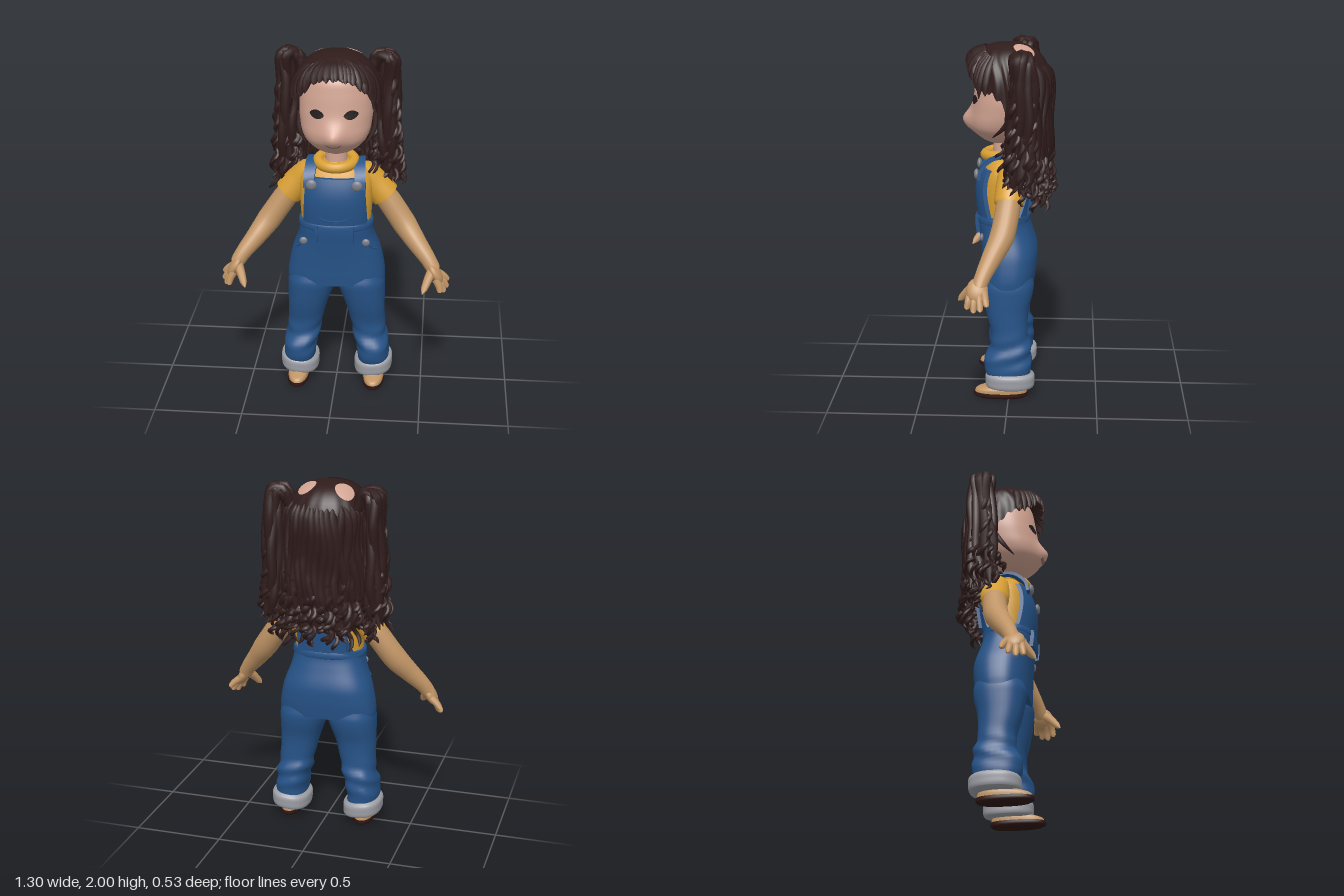
import * as THREE from 'three';

const mat = (name, color, side = THREE.FrontSide) => {
  const m = new THREE.MeshStandardMaterial({ color, side });
  m.name = name;
  return m;
};
const M = {
  face: mat('face skin', 0xd2a492), skin: mat('limb skin', 0xc09465), hair: mat('dark hair', 0x2f1c1b, THREE.DoubleSide),
  denim: mat('denim', 0x265388), shirt: mat('yellow shirt', 0xd89f34), cuff: mat('grey cuff', 0x9d9fa5),
  sole: mat('dark sole', 0x2f1714), button: mat('button', 0x7b7f88), eye: mat('eye', 0x241c1c), mouth: mat('mouth', 0x8f706a),
};

let seed = 7;
const rnd = (a = 0, b = 1) => {
  seed = (seed * 16807) % 2147483647;
  return a + (b - a) * seed / 2147483647;
};
const V = (x, y, z) => new THREE.Vector3(x, y, z);
const lerp = THREE.MathUtils.lerp;

// Smooth interpolation of a table of rows by its first column
function rowAt(rows, y) {
  let i = 0;
  while (i < rows.length - 2 && y > rows[i + 1][0]) i++;
  const h = rows[i + 1][0] - rows[i][0], f = THREE.MathUtils.clamp((y - rows[i][0]) / h, 0, 1);
  const slope = (k, c) => {
    const a = rows[Math.max(k - 1, 0)], b = rows[Math.min(k + 1, rows.length - 1)];
    return (b[c] - a[c]) / (b[0] - a[0]);
  };
  const f2 = f * f, f3 = f2 * f;
  return rows[i].map((v, c) => c === 0 ? y : v * (2 * f3 - 3 * f2 + 1) + rows[i + 1][c] * (3 * f2 - 2 * f3)
    + h * (slope(i, c) * (f3 - 2 * f2 + f) + slope(i + 1, c) * (f3 - f2)));
}

// Closed body from rows of [y, centre x, half width, front z, back z]
function loft(rows, n = 2.3, rule = null, seg = 40) {
  const pos = [], idx = [], ys = [];
  rows.forEach((r, i) => {
    if (i < rows.length - 1) for (let k = 0; k < 5; k++) ys.push(lerp(r[0], rows[i + 1][0], k / 5));
  });
  ys.push(rows[rows.length - 1][0]);
  const pw = v => Math.sign(v) * Math.pow(Math.abs(v), 2 / n);
  ys.forEach((y, i) => {
    const [, cx, rx, zf, zb] = rowAt(rows, y);
    for (let j = 0; j < seg; j++) {
      const a = j / seg * Math.PI * 2;
      const p = V(cx + rx * pw(Math.sin(a)), y, (zf + zb) / 2 + (zf - zb) / 2 * pw(Math.cos(a)));
      if (rule) rule(p);
      pos.push(p.x, p.y, p.z);
      const k = (j + 1) % seg, b = i * seg, t = b + seg;
      if (i < ys.length - 1) idx.push(b + j, b + k, t + k, b + j, t + k, t + j);
    }
  });
  // Caps on their own rims keep the side shading clean
  [0, ys.length - 1].forEach((ring, e) => {
    const r = rows[e ? rows.length - 1 : 0], c = pos.length / 3;
    pos.push(r[1], r[0], (r[3] + r[4]) / 2);
    for (let j = 0; j < seg; j++) {
      pos.push(...pos.slice((ring * seg + j) * 3, (ring * seg + j) * 3 + 3));
      const p = c + 1 + j, q = c + 1 + (j + 1) % seg;
      idx.push(c, e ? p : q, e ? q : p);
    }
  });
  return finish(pos, idx);
}
function finish(pos, idx) {
  const g = new THREE.BufferGeometry();
  g.setAttribute('position', new THREE.Float32BufferAttribute(pos, 3));
  g.setIndex(idx);
  g.computeVertexNormals();
  return g;
}
function move(g, rule) {
  const p = g.attributes.position, v = V(0, 0, 0);
  for (let i = 0; i < p.count; i++) {
    rule(v.fromBufferAttribute(p, i));
    p.setXYZ(i, v.x, v.y, v.z);
  }
  g.computeVertexNormals();
  return g;
}
// Tube through points of [x, y, z, radius]
function limb(pts, segs = 24, sides = 14) {
  const path = new THREE.CatmullRomCurve3(pts.map(p => V(p[0], p[1], p[2])));
  const g = new THREE.TubeGeometry(path, segs, 1, sides), p = g.attributes.position;
  for (let i = 0; i <= segs; i++) {
    const c = path.getPointAt(i / segs), t = path.getUtoTmapping(i / segs) * (pts.length - 1);
    const k = Math.min(Math.floor(t), pts.length - 2), r = lerp(pts[k][3], pts[k + 1][3], t - k);
    for (let j = 0; j <= sides; j++) {
      const q = i * (sides + 1) + j, v = V(0, 0, 0).fromBufferAttribute(p, q).sub(c).multiplyScalar(r).add(c);
      p.setXYZ(q, v.x, v.y, v.z);
    }
  }
  return g;
}
// Lays a flat piece on the front of a loft
const conform = (g, rows, n, extra = () => 0) => move(g, v => {
  const [, cx, rx, zf, zb] = rowAt(rows, v.y), u = Math.min(Math.abs((v.x - cx) / rx), 0.99);
  v.z += (zf + zb) / 2 + (zf - zb) / 2 * Math.pow(1 - Math.pow(u, n), 1 / n) + extra(v.x, v.y);
});

const HEAD = [[1.435, 0, 0.03, 0.09, 0.02], [1.465, 0, 0.1, 0.15, -0.03], [1.52, 0, 0.16, 0.205, -0.08], [1.57, 0, 0.185, 0.218, -0.11],
  [1.63, 0, 0.197, 0.212, -0.14], [1.7, 0, 0.202, 0.202, -0.15], [1.8, 0, 0.19, 0.188, -0.15], [1.88, 0, 0.15, 0.165, -0.12], [1.95, 0, 0.07, 0.08, -0.05]];
const TORSO = [[0.98, 0, 0.19, 0.155, -0.09], [1.1, 0, 0.2, 0.17, -0.1], [1.2, 0, 0.205, 0.173, -0.11], [1.29, 0, 0.2, 0.152, -0.11],
  [1.35, 0, 0.16, 0.125, -0.09], [1.39, 0, 0.09, 0.1, -0.05]];
const HIPS = [[0.655, 0, 0.278, 0.153, -0.14], [0.7, 0, 0.278, 0.156, -0.147], [0.76, 0, 0.27, 0.159, -0.154], [0.84, 0, 0.252, 0.164, -0.154],
  [0.94, 0, 0.216, 0.174, -0.125], [1.0, 0, 0.205, 0.182, -0.108], [1.045, 0, 0.205, 0.18, -0.105]];
const nose = (x, y) => 0.047 * Math.exp(-((x / 0.058) ** 2) - ((y - 1.57) / 0.062) ** 2);

// Hair cap: a rounded dome that runs on into a hanging curtain
const CAP = { y: 1.72, rx: 0.243, ry: 0.278, rz: 0.242, z: 0.015, n: 2.5 };
const EDGE = [[0, 1.905], [0.45, 1.885], [0.75, 1.825], [1.1, 1.765], [1.35, 1.735], [1.6, 1.64], [1.8, 1.4], [2.1, 1.24], [3.15, 1.2]];
function capPoint(a, s, ripple = 1) {
  const th = Math.min(s, 1) * Math.PI / 2, drop = Math.max(s - 1, 0) * 0.44;
  const r = Math.pow(Math.sin(th), 2 / CAP.n) * ripple, h = Math.pow(Math.max(Math.cos(th), 0), 2 / CAP.n);
  return V(CAP.rx * r * (1 + drop * 0.35) * Math.sin(a), CAP.y + CAP.ry * h - drop, CAP.z + CAP.rz * r * Math.cos(a) + drop * 0.01);
}
function capLength(a, jag = 0) {
  const e = rowAt(EDGE, Math.min(Math.abs(a), Math.PI * 2 - Math.abs(a)))[1] + jag;
  return e > CAP.y ? Math.acos(Math.pow((e - CAP.y) / CAP.ry, CAP.n / 2)) * 2 / Math.PI : 1 + (CAP.y - e) / 0.44;
}
function hairCap() {
  const pos = [], idx = [], na = 180, nv = 30;
  for (let i = 0; i <= nv; i++) for (let j = 0; j < na; j++) {
    const a = j / na * Math.PI * 2, v = i / nv;
    const p = capPoint(a, v * capLength(a, 0.012 * Math.sin(a * 31)), 1 + 0.028 * v * Math.sin(a * 17 + 3 * Math.sin(v * 5)));
    pos.push(p.x, p.y, p.z);
    const k = (j + 1) % na, b = i * na, t = b + na;
    if (i < nv) idx.push(b + j, t + j, t + k, b + j, t + k, b + k);
  }
  return finish(pos, idx);
}
// Ringlet winding between two points, wider towards its tip
function curl(from, to, amp, turns, r) {
  const pts = [], n = Math.ceil(turns * 6), ph = rnd(0, 6.28);
  for (let i = 0; i <= n; i++) {
    const t = i / n, a = ph + t * turns * Math.PI * 2, w = amp * (0.25 + 0.75 * t), p = from.clone().lerp(to, t);
    pts.push([p.x + w * Math.cos(a), p.y, p.z + w * Math.sin(a), i === n ? 0.002 : r * (1 - 0.45 * t)]);
  }
  return limb(pts, n * 2, 6);
}

export function createModel() {
  const model = new THREE.Group();
  const add = (name, g, m, parent = model) => {
    const mesh = new THREE.Mesh(g, m);
    mesh.name = name;
    parent.add(mesh);
    return mesh;
  };
  const group = name => {
    const g = new THREE.Group();
    g.name = name;
    model.add(g);
    return g;
  };
  const disc = (name, x, y, z, r, parent) => add(name, new THREE.SphereGeometry(r, 18, 10).scale(1, 1, 0.5).translate(x, y, z), M.button, parent);

  // Head and face
  const head = group('head');
  add('headShape', loft(HEAD, 2.2, p => { if (p.z > 0) p.z += nose(p.x, p.y); }, 64), M.face, head);
  add('neck', new THREE.CylinderGeometry(0.058, 0.064, 0.16, 24).translate(0, 1.42, 0.035), M.face, head);
  const smile = move(new THREE.BoxGeometry(0.08, 0.01, 0.008, 12, 1, 1), v => { v.y += 1.523 + v.x * v.x * 8; });
  add('mouth', conform(smile, HEAD, 2.2, nose), M.mouth, head);

  // Shirt with rolled collar
  const shirt = group('shirt');
  add('shirtBody', loft(TORSO), M.shirt, shirt);
  add('collar', new THREE.TorusGeometry(0.099, 0.03, 14, 40).rotateX(Math.PI / 2 + 0.12).translate(0, 1.382, 0.04), M.shirt, shirt);

  // Overalls: trousers seat, waistband, bib and belt
  const overalls = group('overalls');
  add('seat', loft(HIPS, 2.6, null, 56), M.denim, overalls);
  add('waistband', loft([[1.0, 0, 0.2, 0.178, -0.1], [1.008, 0, 0.21, 0.189, -0.111], [1.04, 0, 0.209, 0.189, -0.11], [1.048, 0, 0.2, 0.178, -0.1]]), M.denim, overalls);
  const bib = new THREE.BoxGeometry(1, 0.285, 0.028, 20, 10, 1).translate(0, 1.17, 0);
  add('bib', conform(move(bib, v => { v.x *= lerp(0.36, 0.325, (v.y - 1.03) / 0.285); }), TORSO, 2.3, () => 0.008), M.denim, overalls);
  add('bibSeam', limb([[-0.11, 1.115, 0.173, 0.004], [-0.06, 1.078, 0.185, 0.004], [0.06, 1.078, 0.185, 0.004], [0.11, 1.115, 0.173, 0.004]], 20, 6), M.denim, overalls);
  const panel = new THREE.BoxGeometry(1, 0.15, 0.026, 14, 6, 1).translate(0, 1.095, 0);
  add('backPanel', conform(move(panel, v => { v.x *= lerp(0.34, 0.24, (v.y - 1.02) / 0.15); }), TORSO.map(r => [r[0], 0, r[2], -r[4], -r[3]]), 2.3).rotateY(Math.PI), M.denim, overalls);
  add('belt', conform(new THREE.BoxGeometry(0.2, 0.07, 0.016, 12, 2, 1).translate(0, 0.985, 0.006), HIPS, 2.6), M.denim, overalls);
  const strapPath = new THREE.CatmullRomCurve3([V(0, 1.26, 0.168), V(0, 1.32, 0.152), V(0, 1.375, 0.09), V(0, 1.385, 0.02), V(0, 1.34, -0.09),
    V(0, 1.22, -0.122), V(0, 1.06, -0.107)]);

  // Hair dome with a fringe sweeping over its front edge
  const hair = group('hair');
  add('hairCap', hairCap(), M.hair, hair);
  for (let i = 0; i < 26; i++) {
    const a = lerp(-1.15, 1.15, i / 25), end = capLength(a), out = 0.05 * Math.cos(a);
    const path = [[0.5, 0.97, 0.012], [0.72, 1 + out, 0.024], [0.9, 1.02 + out, 0.024], [0.99, 1.02 + out, 0.017], [rnd(1.0, 1.09), 1.02 + out, 0.002]];
    const lean = rnd(-0.1, 0.1);
    add('fringeLock', limb(path.map(([k, w, r]) => [...capPoint(a + lean * k * k, Math.min(end * k, 1.1), w).toArray(), r]), 12, 7), M.hair, hair);
  }
  // Long wavy locks down the back
  for (let i = 0; i < 21; i++) {
    const a = lerp(1.75, Math.PI * 2 - 1.75, i / 20), ph = rnd(0, 6.28), path = [];
    for (let k = 0; k <= 8; k++) {
      const s = lerp(0.62, rnd(1.85, 1.95), k / 8), w = 0.97 + 0.02 * Math.sin(ph + k * 1.3);
      path.push([...capPoint(a + 0.05 * Math.sin(ph + k * 1.1), s, w).toArray(), k === 0 ? 0.004 : k === 8 ? 0.01 : 0.027]);
    }
    add('backLock', limb(path, 30, 8), M.hair, hair);
  }
  const addCurl = (...args) => add('ringlet', curl(...args), M.hair, hair);
  // Ringlets below the back curtain
  for (let i = 0; i < 38; i++) {
    const a = lerp(1.85, Math.PI * 2 - 1.85, (i + rnd(0, 0.8)) / 38), from = capPoint(a, rnd(1.4, 1.95), 0.98);
    const to = V(from.x * rnd(1.1, 1.35), rnd(1.09, 1.22), from.z * 0.88 - rnd(0.01, 0.05));
    addCurl(from, to, rnd(0.016, 0.028), rnd(2.2, 3.4), rnd(0.016, 0.024));
  }

  for (const s of [1, -1]) {
    // Almond eye with slightly raised outer corner
    const eye = move(new THREE.CircleGeometry(1, 32), v => v.set(s * (0.092 + v.x * 0.039), 1.696 + v.y * 0.025 * (1 - 0.3 * v.x * v.x) + v.x * 0.003, 0.005));
    if (s < 0) eye.setIndex([...eye.index.array].reverse());
    add('eye', conform(eye, HEAD, 2.2, nose), M.eye, head);

    // Strap bent over the shoulder, wider behind
    add('strap', move(new THREE.BoxGeometry(0.056, 0.018, 1, 1, 1, 32), v => {
      const u = v.z + 0.5, p = strapPath.getPointAt(u), t = strapPath.getTangentAt(u), n = t.clone().cross(V(1, 0, 0));
      const x = v.x * (1 + 0.6 * u), h = v.y;
      v.copy(p).addScaledVector(n, h);
      v.x = s * (0.145 - 0.05 * u) + x;
    }), M.denim, overalls);
    disc('strapButton', s * 0.125, 1.285, 0.182, 0.03, overalls);
    disc('hipButton', s * 0.175, 0.935, 0.152, 0.022, overalls);
    add('beltLoop', conform(new THREE.BoxGeometry(0.018, 0.1, 0.024, 2, 4, 1).translate(s * 0.1, 0.99, 0.009), HIPS, 2.6), M.denim, overalls);
    add('pocketEdge', limb([[s * 0.19, 0.945, 0.115, 0.005], [s * 0.2, 0.895, 0.118, 0.005], [s * 0.235, 0.87, 0.075, 0.005]], 12, 6), M.denim, overalls);

    // Trouser leg with soft folds, turned-up cuff
    const leg = [[0.1, 0.215, 0.088, 0.11, -0.125], [0.2, 0.215, 0.093, 0.142, -0.128], [0.29, 0.197, 0.096, 0.112, -0.128], [0.37, 0.184, 0.099, 0.1, -0.108],
      [0.5, 0.166, 0.114, 0.13, -0.11], [0.6, 0.148, 0.132, 0.147, -0.133], [0.655, 0.14, 0.138, 0.152, -0.139], [0.7, 0.138, 0.128, 0.14, -0.13]];
    const fold = p => {
      const k = 0.006 * Math.sin(p.y * 62 + p.x * s * 14 + p.z * 16) * Math.exp(-(((p.y - 0.27) / 0.09) ** 2));
      p.x += Math.sign(p.x - s * 0.2) * k;
      p.z += Math.sign(p.z) * k;
    };
    add('trouserLeg', loft(leg.map(r => [r[0], s * r[1], ...r.slice(2)]), 2.4, fold), M.denim, overalls);
    const cuff = [[0.055, 0.09, 0.105, -0.12], [0.065, 0.107, 0.127, -0.142], [0.1, 0.111, 0.133, -0.148], [0.132, 0.109, 0.131, -0.146], [0.148, 0.092, 0.115, -0.13]];
    add('cuff', loft(cuff.map(r => [r[0], s * 0.217, ...r.slice(1)]), 2.4, p => { p.y += (p.x * s - 0.217) * 0.09; }), M.cuff, overalls);

    // Foot and sole
    const foot = group(s > 0 ? 'leftFoot' : 'rightFoot');
    add('footTop', loft([[0.025, s * 0.222, 0.06, 0.195, -0.105], [0.05, s * 0.222, 0.059, 0.18, -0.1], [0.07, s * 0.22, 0.052, 0.125, -0.09],
      [0.12, s * 0.217, 0.045, 0.07, -0.08]]), M.skin, foot);
    add('sole', loft([[0, s * 0.222, 0.055, 0.18, -0.095], [0.01, s * 0.222, 0.063, 0.199, -0.108], [0.03, s * 0.222, 0.063, 0.201, -0.11]]), M.sole, foot);

    // Sleeve, arm and hand
    const arm = group(s > 0 ? 'leftArm' : 'rightArm');
    const side = pts => pts.map(p => [p[0] * s, ...p.slice(1)]);
    add('sleeve', limb(side([[0.1, 1.32, 0, 0.02], [0.15, 1.3, -0.005, 0.07], [0.21, 1.24, -0.01, 0.081], [0.274, 1.165, -0.005, 0.083], [0.28, 1.158, -0.005, 0.06]]), 30, 24), M.shirt, arm);
    add('armShape', limb(side([[0.22, 1.23, -0.01, 0.055], [0.29, 1.14, 0, 0.068], [0.385, 1.005, 0.028, 0.068], [0.455, 0.915, 0.075, 0.056],
      [0.525, 0.83, 0.12, 0.044], [0.555, 0.785, 0.138, 0.041], [0.59, 0.74, 0.15, 0.004]]), 36, 18), M.skin, arm);
    const palm = add('palm', new THREE.SphereGeometry(1, 20, 14).scale(0.03, 0.068, 0.058), M.skin, arm);
    palm.position.set(s * 0.568, 0.763, 0.15);
    palm.rotation.z = s * 0.55;
    [[0.643, 0.695, 0.095], [0.64, 0.665, 0.13], [0.622, 0.652, 0.168], [0.6, 0.665, 0.205]].forEach(([x, y, z], i) => {
      const k = [0.58 - i * 0.004, 0.752 - i * 0.003, 0.112 + i * 0.025];
      const at = (f, r, out = 0) => [lerp(k[0], x, f) + out, lerp(k[1], y, f), lerp(k[2], z, f), r];
      add('finger', limb(side([at(0, 0.022), at(0.5, 0.02, 0.005), at(0.9, 0.016), at(1, 0.002)]), 12, 9), M.skin, arm);
    });
    add('thumb', limb(side([[0.555, 0.79, 0.15, 0.03], [0.528, 0.745, 0.2, 0.025], [0.507, 0.7, 0.238, 0.019], [0.497, 0.678, 0.257, 0.002]]), 14, 10), M.skin, arm);

    // Scalp patch following the dome
    add('scalpPatch', move(new THREE.RingGeometry(0.0001, 0.055, 28, 6).rotateX(-Math.PI / 2).scale(0.9, 1, 1.05).rotateY(s * 0.35).translate(s * 0.105 - 0.01, 0, -0.078), v => {
      const r = Math.hypot(v.x / CAP.rx, (v.z - CAP.z) / CAP.rz);
      v.y = CAP.y + 0.005 + CAP.ry * Math.pow(1 - Math.pow(r, CAP.n), 1 / CAP.n);
    }), M.face, hair);

    // Pigtail bundle looping up and over, with ringlets around it
    const core = [[0.19, 1.86, -0.07, 0.2], [0.235, 1.945, -0.075, 0.5], [0.28, 1.94, -0.075, 0.8], [0.285, 1.8, -0.08, 1],
      [0.285, 1.62, -0.08, 1.2], [0.285, 1.45, -0.08, 1.3], [0.295, 1.32, -0.08, 1.2], [0.31, 1.22, -0.075, 1.1]];
    for (let k = 0; k < 9; k++) {
      const a = k / 9 * Math.PI * 2, ph = rnd(0, 6.28), up = rnd(-0.01, 0.02);
      add('pigtailLock', limb(side(core.map(([x, y, z, w], i) => [x + 0.032 * w * Math.cos(a + i * 0.25) + 0.008 * Math.sin(ph + i * 2.2),
        y + up, z + 0.052 * w * Math.sin(a + i * 0.25) + 0.01 * Math.cos(ph + i * 2.2), i === 7 ? 0.003 : 0.029])), 36, 8), M.hair, hair);
    }
    for (let i = 0; i < 15; i++) {
      const a = i / 15 * Math.PI * 2, y = rnd(1.55, 1.85);
      addCurl(V(s * (0.29 + 0.035 * Math.cos(a)), y, -0.075 + 0.045 * Math.sin(a)),
        V(s * (0.3 + 0.07 * Math.cos(a)), rnd(1.17, 1.36), -0.07 + 0.085 * Math.sin(a)), rnd(0.014, 0.026), (y - 1.1) * rnd(5, 7), rnd(0.015, 0.021));
    }
    // Loose strands by the neck and ear
    for (let i = 0; i < 4; i++) {
      addCurl(V(s * 0.21, 1.58, -0.04), V(s * rnd(0.17, 0.25), rnd(1.24, 1.42), rnd(0.02, 0.07)), 0.014, 3, 0.014);
    }
    add('earWisp', limb(side([[0.21, 1.64, -0.02, 0.014], [0.205, 1.56, 0.03, 0.014], [0.165, 1.5, 0.09, 0.003]]), 10, 6), M.hair, hair);
  }
  return model;
}
